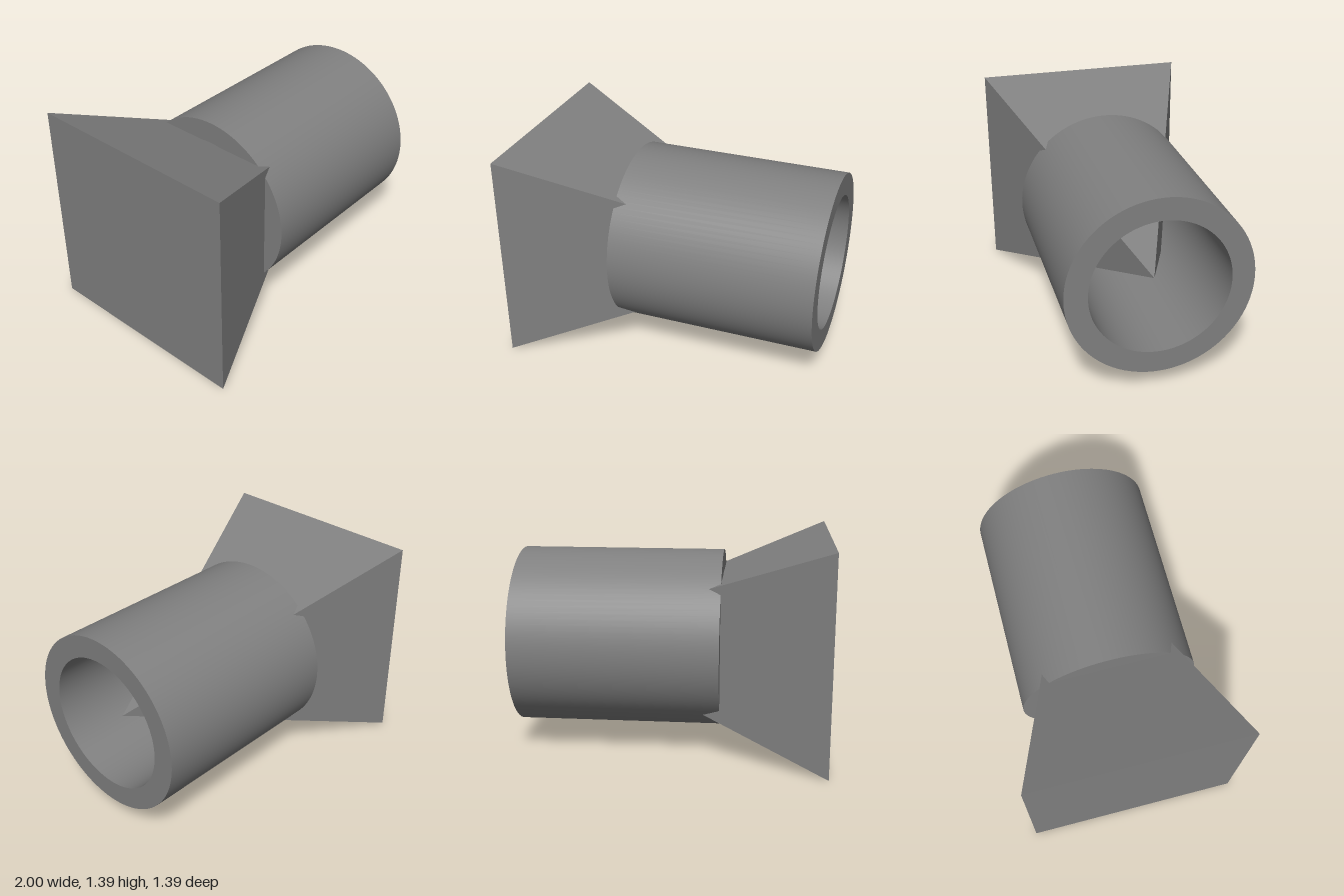
import * as THREE from 'three';
import { mergeGeometries } from 'three/addons/utils/BufferGeometryUtils.js';

const BACK = -0.32, FRONT = 1, OUTER = 0.578, INNER = 0.436;
const BASE_X = -1, APEX_X = 0.86, HALF = 0.697;

// Hollow tube about +x: each wall is its own lathe, so the rims stay sharp
function tubeGeometry() {
  const profile = [[OUTER, BACK], [OUTER, FRONT], [INNER, FRONT], [INNER, BACK]]
    .map(([r, h]) => new THREE.Vector2(r, h));
  const walls = profile.map((p, i) => new THREE.LatheGeometry([p, profile[(i + 1) % 4]], 96));
  return mergeGeometries(walls).rotateZ(-Math.PI / 2);
}

// Square pyramid pointing along +x with flat faces
function pyramidGeometry() {
  const height = APEX_X - BASE_X;
  const geometry = new THREE.ConeGeometry(HALF * Math.SQRT2, height, 4, 1)
    .rotateY(Math.PI / 4)
    .rotateZ(-Math.PI / 2)
    .translate((BASE_X + APEX_X) / 2, 0, 0)
    .toNonIndexed();
  geometry.computeVertexNormals();
  return geometry;
}

export function createModel() {
  const group = new THREE.Group();
  const grey = new THREE.MeshStandardMaterial({ color: 0x808080 });
  grey.name = 'grey';

  const tube = new THREE.Mesh(tubeGeometry(), grey);
  tube.name = 'tube';
  tube.position.y = 0.709;

  const pyramid = new THREE.Mesh(pyramidGeometry(), grey);
  pyramid.name = 'pyramid';
  pyramid.position.y = HALF;

  group.add(tube, pyramid);
  return group;
}
